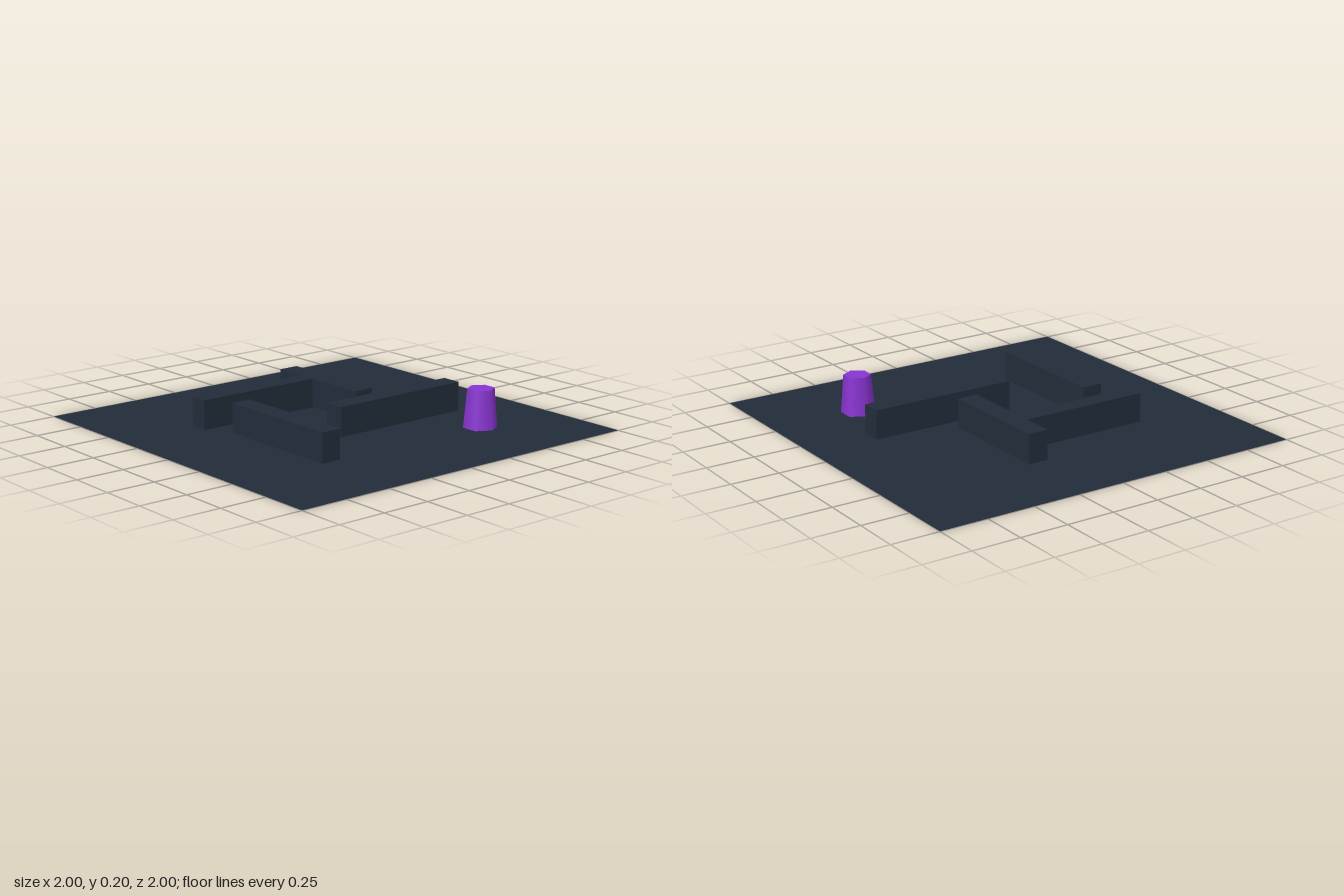
import * as THREE from 'three';

export function createModel() {
  const group = new THREE.Group();
  const material = (name, color) => {
    const m = new THREE.MeshStandardMaterial({ color });
    m.name = name;
    return m;
  };
  const slate = material('dark slate', 0x222d3b);
  slate.side = THREE.DoubleSide;
  const purple = material('purple', 0x8a35d4);

  const add = (name, geometry, mat, x, y, z) => {
    const mesh = new THREE.Mesh(geometry, mat);
    mesh.name = name;
    mesh.position.set(x, y, z);
    group.add(mesh);
  };

  // Flat square floor, a hair above the pillar's base
  add('floor', new THREE.PlaneGeometry(2, 2).rotateX(-Math.PI / 2), slate, 0, 0.001, 0);

  // Low maze walls: x from, x to, z from, z to
  const wallHeight = 0.152;
  const walls = {
    backWall: [-0.567, 0.12, -0.4, -0.302],
    crossWall: [0.12, 0.227, -0.568, 0.037],
    sideWall: [-0.489, -0.382, -0.176, 0.517],
    frontWall: [-0.133, 0.65, 0.118, 0.224],
  };
  for (const [name, [x0, x1, z0, z1]] of Object.entries(walls)) {
    const box = new THREE.BoxGeometry(x1 - x0, wallHeight, z1 - z0);
    add(name, box, slate, (x0 + x1) / 2, wallHeight / 2 + 0.001, (z0 + z1) / 2);
  }

  // Tapered six-sided pillar with smooth sides
  add('pillar', new THREE.CylinderGeometry(0.07, 0.087, 0.2, 6), purple, 0.52, 0.1, 0.52);

  return group;
}
